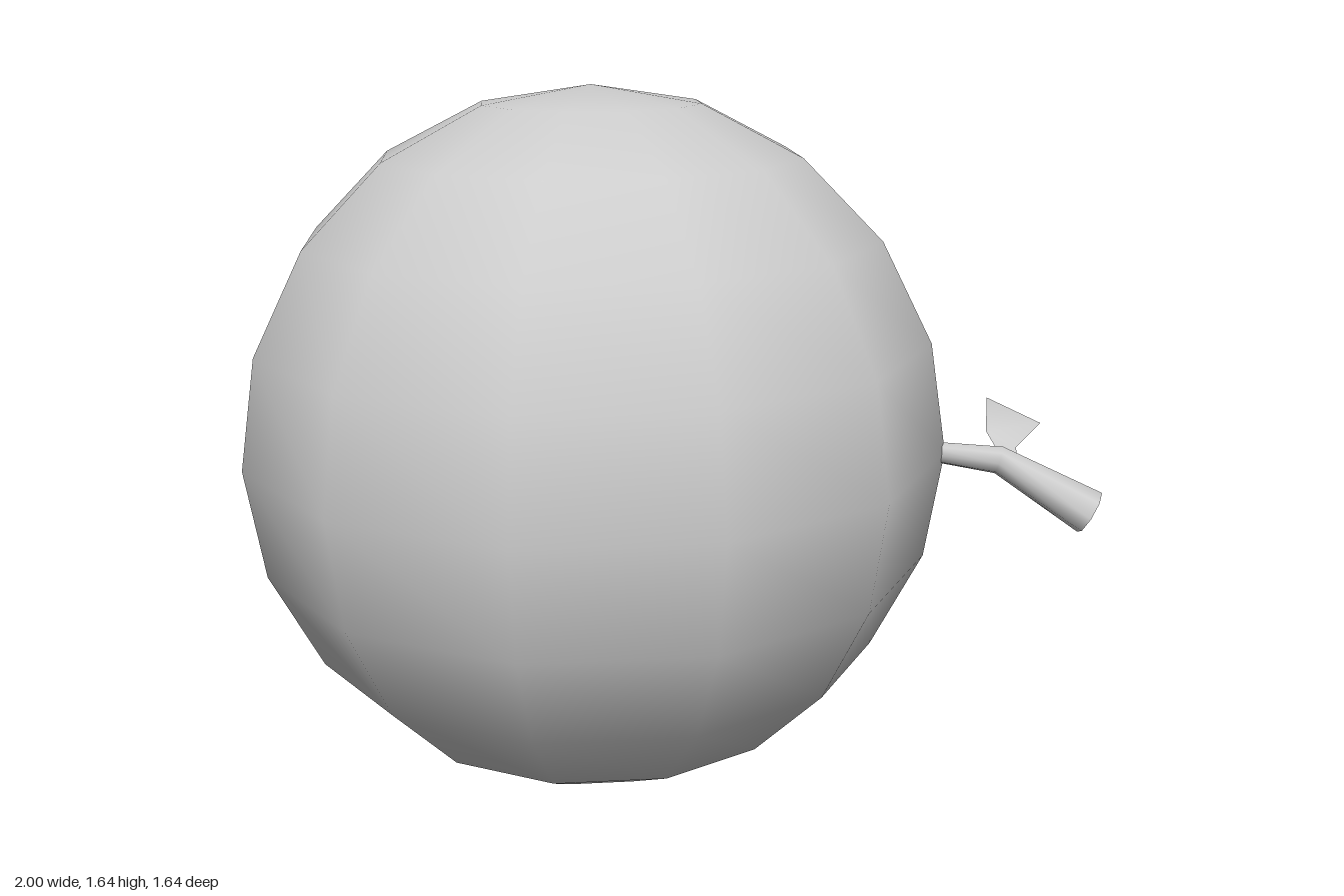
import * as THREE from 'three';

// Skin a list of equal-length point rows into one smooth surface
function loft(rows, closed) {
  const n = rows[0].length, index = [];
  for (let j = 0; j < rows.length - 1; j++) {
    for (let i = 0; i < (closed ? n : n - 1); i++) {
      const a = j * n + i, b = j * n + (i + 1) % n;
      index.push(a, b, b + n, a, b + n, a + n);
    }
  }
  const geo = new THREE.BufferGeometry();
  geo.setAttribute('position', new THREE.Float32BufferAttribute(rows.flat(2), 3));
  geo.setIndex(index);
  geo.computeVertexNormals();
  return geo;
}

export function createModel() {
  const model = new THREE.Group();
  model.name = 'fruit';
  const grey = new THREE.MeshStandardMaterial({ color: 0xcccccc, side: THREE.DoubleSide });
  grey.name = 'pale grey';

  const add = (name, geo, parent = model) => {
    const mesh = new THREE.Mesh(geo, grey);
    mesh.name = name;
    parent.add(mesh);
    return mesh;
  };

  // Round body
  add('body', new THREE.SphereGeometry(0.822, 12, 10)).position.set(-0.18, 0.823, 0);

  // Bent stem that widens to its cut end: x, y, radius, tilt of each ring
  const stem = new THREE.Group();
  stem.name = 'stem';
  model.add(stem);
  const sides = 8;
  const rings = [[0.6, 0.824, 0.023, 0], [0.765, 0.81, 0.033, -0.25], [0.975, 0.695, 0.054, -0.486]];
  add('stemBranch', loft(rings.map(([x, y, r, tilt]) =>
    Array.from({ length: sides }, (_, i) => {
      const a = i / sides * Math.PI * 2, up = r * Math.cos(a);
      return [x - up * Math.sin(tilt), y + up * Math.cos(tilt), r * Math.sin(a)];
    })), true), stem);

  // Flat cut at the stem end
  const [x, y, r, tilt] = rings[2];
  add('stemEnd', new THREE.CircleGeometry(r, sides).rotateY(Math.PI / 2).rotateZ(tilt), stem)
    .position.set(x, y, 0);

  // Drooping leaf, left and right edge of each section from base to tip
  add('leaf', loft([
    [[0.77, 0.812, -0.02], [0.81, 0.8, -0.02]],
    [[0.735, 0.853, -0.09], [0.805, 0.82, -0.075]],
    [[0.735, 0.912, -0.176], [0.863, 0.855, -0.176]],
    [[0.746, 0.88, -0.255], [0.826, 0.838, -0.27]],
    [[0.775, 0.828, -0.3], [0.783, 0.826, -0.3]],
  ], false));

  return model;
}
